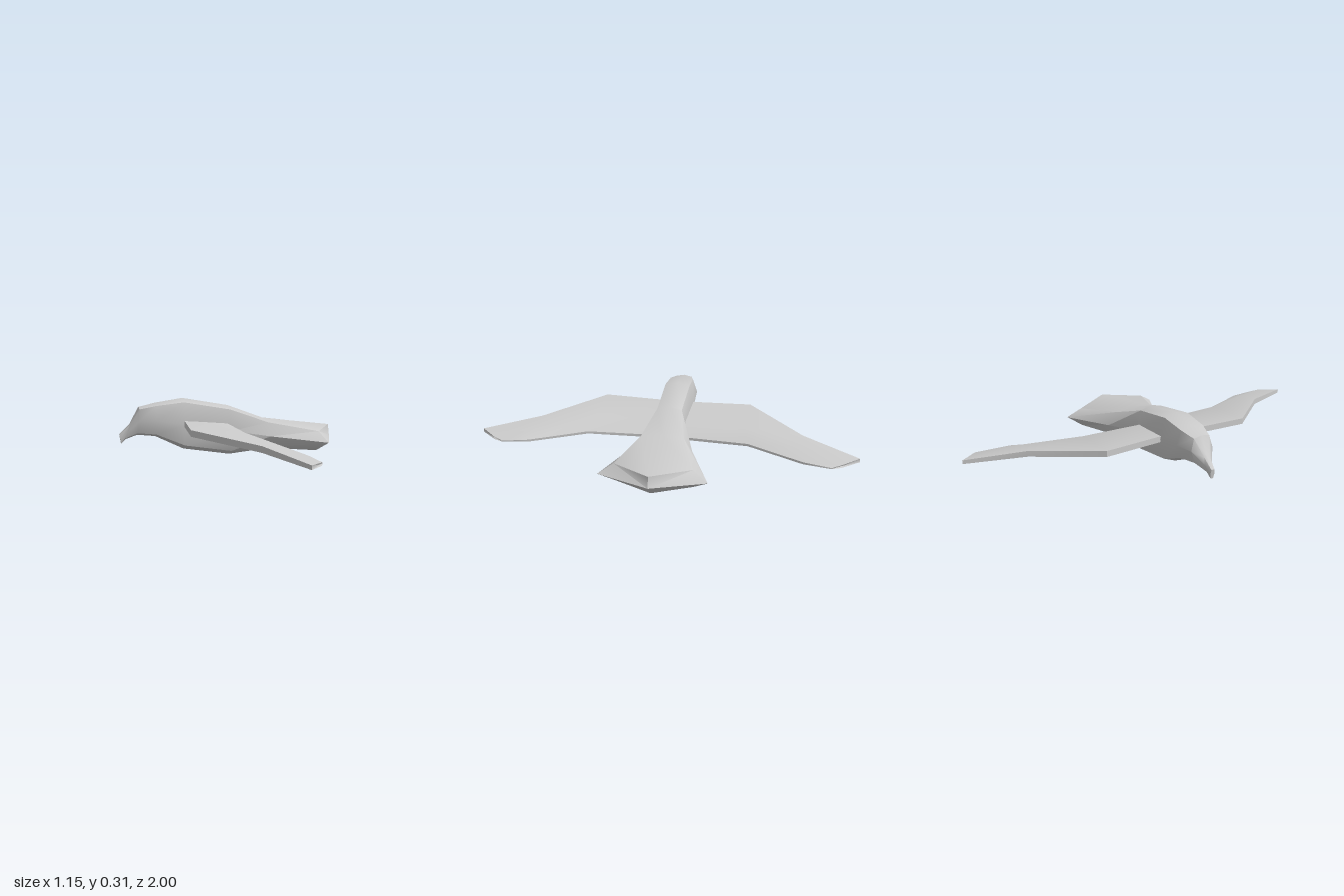
import * as THREE from 'three';
import { toCreasedNormals } from 'three/addons/utils/BufferGeometryUtils.js';

// Skin a row of closed rings of [x, y, z] points; both ends are fanned shut.
function loft(rings, startCentre, endCentre) {
  const n = rings[0].length;
  const pos = rings.flat(2);
  const index = [];
  for (let i = 0; i < rings.length - 1; i++) {
    for (let j = 0; j < n; j++) {
      const a = i * n + j, b = i * n + (j + 1) % n;
      index.push(a, b, a + n, b, b + n, a + n);
    }
  }
  const start = rings.length * n, last = start - n;
  pos.push(...startCentre, ...endCentre);
  for (let j = 0; j < n; j++) {
    const k = (j + 1) % n;
    index.push(start, k, j, start + 1, last + j, last + k);
  }
  const geometry = new THREE.BufferGeometry();
  geometry.setAttribute('position', new THREE.Float32BufferAttribute(pos, 3));
  geometry.setIndex(index);
  return toCreasedNormals(geometry, 0.8);
}

// Eight-sided body ring, given its top, bottom, half width and sideways sweep.
function bodyRing([xt, yt, xb, yb, w, sweep = 0]) {
  const h = yt - yb;
  const upper = [xt - sweep, yb + 0.94 * h, 0.72 * w];
  const side = [(xt + xb) / 2 - 0.52 * sweep, yb + 0.52 * h, w];
  const lower = [xb - 0.65 * sweep, yb + 0.1 * h, 0.72 * w];
  const flip = ([x, y, z]) => [x, y, -z];
  return [[xt, yt, 0], upper, side, lower, [xb, yb, 0], flip(lower), flip(side), flip(upper)];
}

// Wing ring: leading, middle and trailing [x, yTop, yBottom, z], counter-clockwise.
function wingRing(points, side) {
  const bottom = points.map(([x, , yb, z]) => [x, yb, z * side]);
  const top = points.map(([x, yt, , z]) => [x, yt, z * side]).reverse();
  return [...bottom, ...top];
}

const average = ring => [0, 1, 2].map(k => ring.reduce((s, p) => s + p[k], 0) / ring.length);

export function createModel() {
  const group = new THREE.Group();
  const material = new THREE.MeshStandardMaterial({ color: 0xcccccc });
  const add = (name, geometry) => {
    const mesh = new THREE.Mesh(geometry, material);
    mesh.name = name;
    group.add(mesh);
  };

  // Beak, head, trunk and fanned tail: xTop, yTop, xBottom, yBottom, halfWidth, sweep
  const body = [
    [-0.578, 0.13, -0.57, 0.076, 0.012],
    [-0.525, 0.18, -0.547, 0.1, 0.022],
    [-0.475, 0.27, -0.485, 0.122, 0.062],
    [-0.39, 0.29, -0.39, 0.112, 0.09],
    [-0.245, 0.312, -0.24, 0.04, 0.095],
    [0, 0.268, 0.01, 0.002, 0.092],
    [0.2, 0.193, 0.2, 0.03, 0.155],
    [0.57, 0.148, 0.515, 0.028, 0.275, 0.12],
  ].map(bodyRing);
  add('body', loft(body, average(body[0]), [0.577, 0.087, 0]));

  // Wing stations from root to swept tip
  const stations = [
    [[-0.24, 0.2, 0.168, 0], [-0.02, 0.18, 0.135, 0], [0.07, 0.13, 0.115, 0]],
    [[-0.265, 0.2, 0.168, 0.41], [0, 0.18, 0.14, 0.41], [0.09, 0.128, 0.115, 0.43]],
    [[0.01, 0.163, 0.132, 0.71], [0.13, 0.15, 0.125, 0.71], [0.222, 0.115, 0.104, 0.72]],
    [[0.15, 0.125, 0.105, 1], [0.225, 0.118, 0.103, 0.91], [0.245, 0.108, 0.102, 0.86]],
  ];
  for (const side of [1, -1]) {
    const rings = stations.map(points => wingRing(points, side));
    if (side < 0) rings.reverse();
    add(side > 0 ? 'nearWing' : 'farWing', loft(rings, average(rings[0]), average(rings[3])));
  }
  return group;
}
